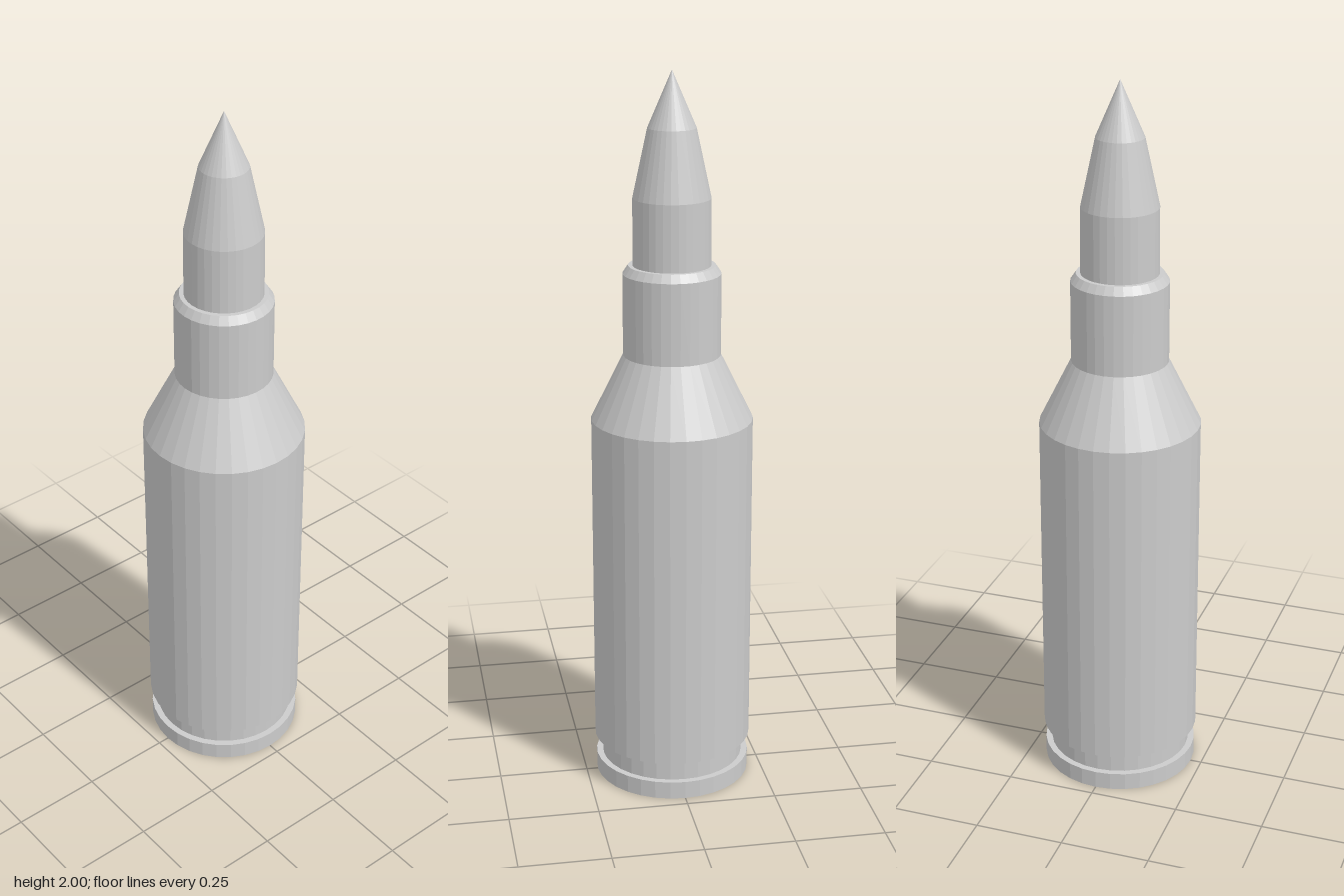
import * as THREE from 'three';

const SIDES = 32;

export function createModel() {
  const group = new THREE.Group();
  const material = new THREE.MeshStandardMaterial({ color: 0xcccccc, flatShading: true });

  // Turns a [radius, height] profile, listed bottom to top, around the y axis
  const turn = (name, profile) => {
    const points = profile.map(([r, y]) => new THREE.Vector2(r, y));
    const mesh = new THREE.Mesh(new THREE.LatheGeometry(points, SIDES), material);
    mesh.name = name;
    group.add(mesh);
  };

  // Base disc with its rim and the extractor groove above it
  turn('rim', [[0, 0], [0.218, 0], [0.218, 0.05], [0.2, 0.05]]);
  turn('extractorGroove', [[0.2, 0.05], [0.2, 0.11]]);

  // Case wall, sloped shoulder and straight neck
  turn('caseBody', [[0.2, 0.11], [0.222, 0.11], [0.222, 1.057]]);
  turn('shoulder', [[0.222, 1.057], [0.133, 1.237]]);
  turn('neck', [[0.133, 1.237], [0.133, 1.462]]);
  turn('mouthBevel', [[0.133, 1.462], [0.118, 1.484], [0.104, 1.484]]);

  // Projectile: cylindrical shank, two-stage taper and a sharp tip
  turn('projectile', [[0.106, 1.484], [0.105, 1.665], [0.065, 1.85], [0, 2]]);

  return group;
}
